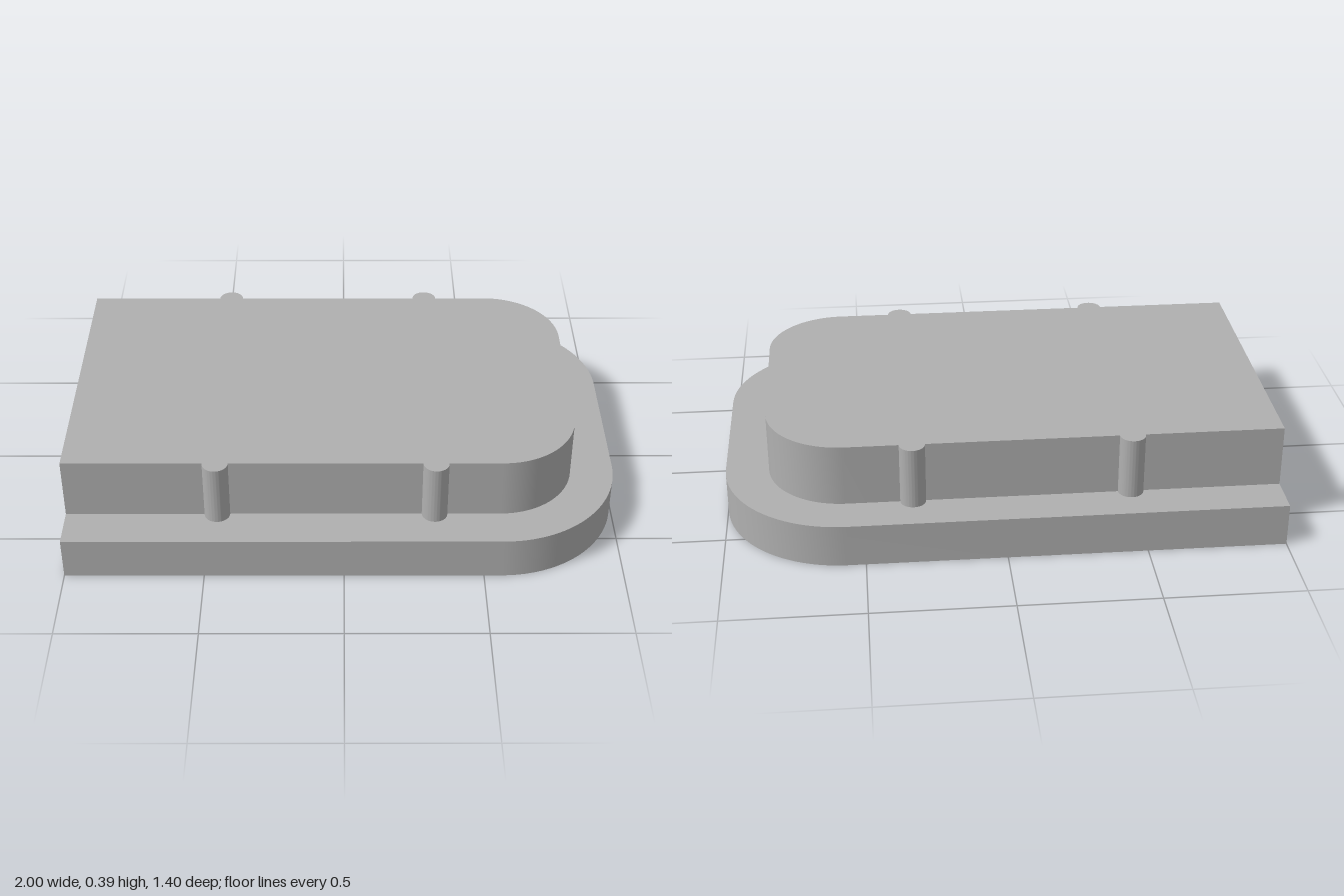
import * as THREE from 'three';
import { toCreasedNormals } from 'three/addons/utils/BufferGeometryUtils.js';

// Plate outline: square at the -x end, rounded at the +x end,
// with optional half-round ribs along both long sides.
function plateOutline(endX, halfWidth, radius, ribs = [], ribRadius = 0) {
  const s = new THREE.Shape();
  const cx = endX - radius;
  const cz = halfWidth - radius;
  s.moveTo(-1, -halfWidth);
  for (const x of ribs) {
    s.lineTo(x - ribRadius, -halfWidth);
    s.absarc(x, -halfWidth, ribRadius, Math.PI, Math.PI * 2, false);
  }
  s.lineTo(cx, -halfWidth);
  s.absarc(cx, -cz, radius, -Math.PI / 2, 0, false);
  s.lineTo(endX, cz);
  s.absarc(cx, cz, radius, 0, Math.PI / 2, false);
  for (const x of [...ribs].reverse()) {
    s.lineTo(x + ribRadius, halfWidth);
    s.absarc(x, halfWidth, ribRadius, 0, Math.PI, false);
  }
  s.lineTo(-1, halfWidth);
  s.closePath();
  return s;
}

// Extrude an outline upward from y = bottom to y = top
function slab(name, outline, bottom, top, material) {
  const extruded = new THREE.ExtrudeGeometry(outline, {
    depth: top - bottom, bevelEnabled: false, curveSegments: 20,
  });
  extruded.rotateX(-Math.PI / 2);
  extruded.translate(0, bottom, 0);
  const mesh = new THREE.Mesh(toCreasedNormals(extruded, Math.PI / 6), material);
  mesh.name = name;
  return mesh;
}

export function createModel() {
  const group = new THREE.Group();
  group.name = 'steppedPlate';
  const grey = new THREE.MeshStandardMaterial({ color: 0xb0b0b0 });
  grey.name = 'plain grey';

  // Wide base flange
  group.add(slab('base', plateOutline(1, 0.702, 0.436), 0, 0.158, grey));

  // Raised block with two locating ribs on each side
  const block = plateOutline(0.842, 0.547, 0.28, [-0.455, 0.325], 0.046);
  group.add(slab('raisedBlock', block, 0.158, 0.386, grey));

  return group;
}
